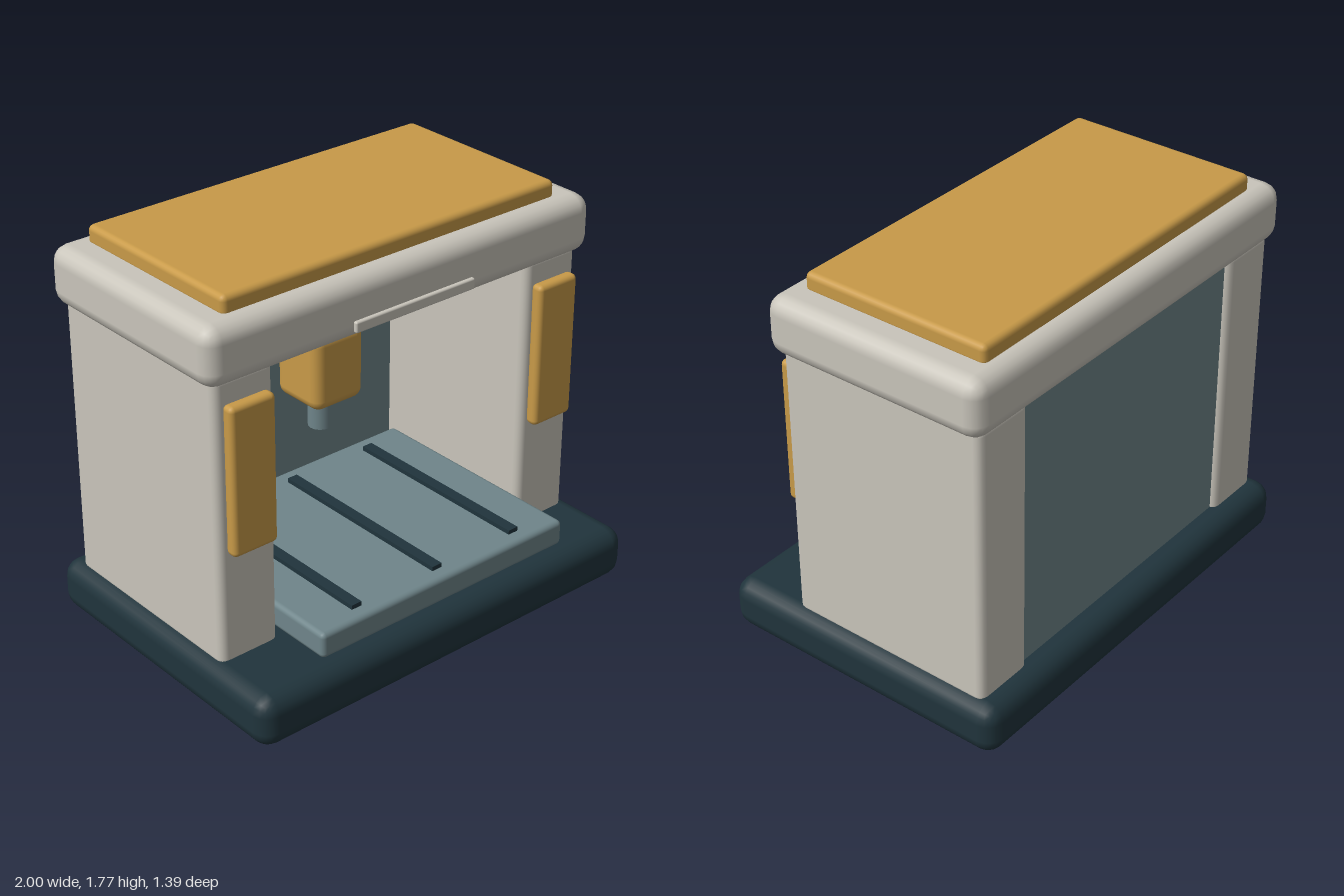
import * as THREE from 'three';
import { RoundedBoxGeometry } from 'three/addons/geometries/RoundedBoxGeometry.js';

const material = (name, color) => {
  const m = new THREE.MeshStandardMaterial({ color });
  m.name = name;
  return m;
};

export function createModel() {
  const cream = material('cream', 0xc9c5bb);
  const slate = material('slate', 0x6f858a);
  const navy = material('dark navy', 0x20343c);
  const amber = material('amber', 0xc89a48);

  const group = new THREE.Group();
  group.name = 'coffeeMachine';

  const add = (name, geometry, mat, x, y, z) => {
    const mesh = new THREE.Mesh(geometry, mat);
    mesh.name = name;
    mesh.position.set(x, y, z);
    group.add(mesh);
    return mesh;
  };

  // Rounded box given by its [min, max] range on each axis
  const block = (name, mat, [x0, x1], [y0, y1], [z0, z1], radius) =>
    add(name, new RoundedBoxGeometry(x1 - x0, y1 - y0, z1 - z0, 2, radius), mat,
      (x0 + x1) / 2, (y0 + y1) / 2, (z0 + z1) / 2);

  // Body shell
  block('base', navy, [-1, 1], [0, 0.23], [-0.695, 0.695], 0.075);
  block('backPanel', slate, [-0.67, 0.67], [0.2, 1.5], [-0.58, -0.47], 0.01);
  block('topHousing', cream, [-0.99, 0.99], [1.445, 1.7], [-0.635, 0.4], 0.07);
  block('topTray', amber, [-0.85, 0.85], [1.68, 1.77], [-0.555, 0.31], 0.025);
  block('frontHandle', cream, [-0.31, 0.305], [1.49, 1.538], [0.405, 0.427], 0.008);

  // Side columns with their front panels
  for (const [side, s] of [['left', 1], ['right', -1]]) {
    const span = (a, b) => (s > 0 ? [a, b] : [-b, -a]);
    block(side + 'Column', cream, span(0.658, 0.942), [0.2, 1.48], [-0.605, 0.36], 0.035);
    block(side + 'FrontPanel', amber, span(0.69, 0.905), [0.72, 1.37], [0.355, 0.415], 0.022);
  }

  // Brewing unit hanging under the top
  block('brewRail', slate, [-0.67, 0.67], [1.35, 1.46], [-0.04, 0.16], 0.025);
  block('brewHead', amber, [-0.313, -0.06], [1.04, 1.37], [-0.07, 0.19], 0.045);
  add('nozzle', new THREE.CylinderGeometry(0.052, 0.052, 0.17, 16), slate, -0.187, 0.99, 0.06);

  // Drip tray with grille bars
  block('dripTray', slate, [-0.658, 0.658], [0.262, 0.378], [-0.44, 0.635], 0.022);
  for (const x of [-0.43, 0, 0.43]) {
    add('grilleBar', new THREE.BoxGeometry(0.05, 0.025, 0.93), navy, x, 0.385, 0.105);
  }

  return group;
}
